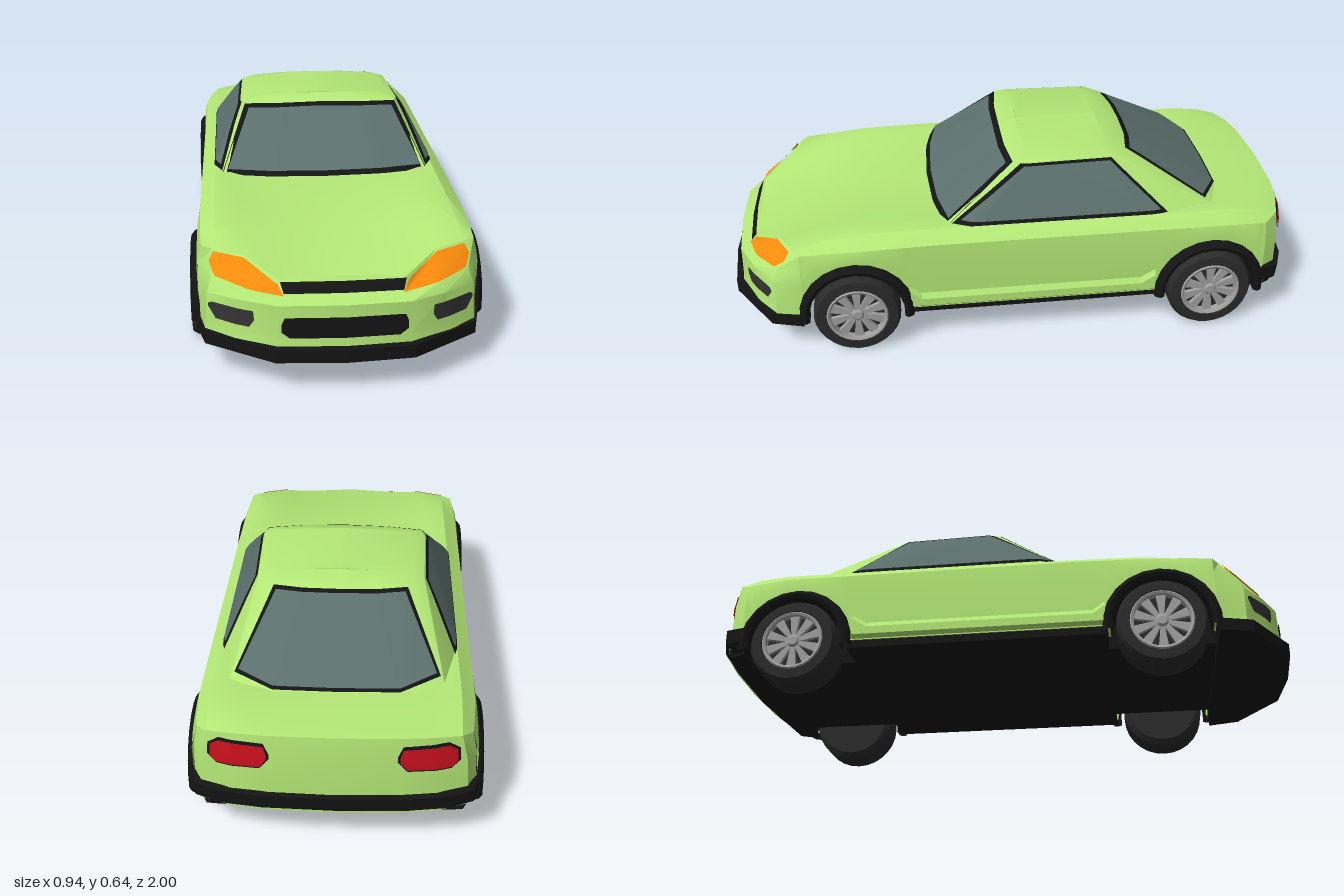
import * as THREE from 'three';
import { toCreasedNormals } from 'three/addons/utils/BufferGeometryUtils.js';

const mat = (color) => new THREE.MeshStandardMaterial({ color, side: THREE.DoubleSide });
const paint = mat(0xb4e876), black = mat(0x141414), tyreMat = mat(0x2a2a2a), trim = mat(0x333333),
  glass = mat(0x5b706d), amber = mat(0xff8c0c), red = mat(0xc4101c), alloy = mat(0xa0a0a0);
const WHEEL_Z = [0.555, -0.69], AXLE_Y = 0.15, ARCH_R = 0.175;

// Surface through rows of points
function patch(name, material, rows, crease = 0.45) {
  const n = rows[0].length, index = [];
  for (let i = 0; i < rows.length - 1; i++) for (let j = 0; j < n - 1; j++) {
    const a = i * n + j, b = a + n;
    index.push(a, b, a + 1, b, b + 1, a + 1);
  }
  const g = new THREE.BufferGeometry();
  g.setAttribute('position', new THREE.Float32BufferAttribute(rows.flat(2), 3));
  g.setIndex(index);
  const mesh = new THREE.Mesh(toCreasedNormals(g, crease), material);
  mesh.name = name;
  return mesh;
}
// Half rows start on the centre line and are mirrored to the other side
const mirrorRows = (rows) => rows.map((r) => [...r.slice(1).reverse().map(([x, y, z]) => [-x, y, z]), ...r]);

// Point at t (0..1) along a polyline
function along(pts, t) {
  const f = t * (pts.length - 1), i = Math.min(Math.floor(f), pts.length - 2);
  return pts[i].map((v, k) => v + (pts[i + 1][k] - v) * (f - i));
}

// Panel laid on a surface: bounded by two polylines, projected along x or z
function inlay(name, material, targets, axis, sign, lower, upper, lift) {
  const dir = axis === 'x' ? new THREE.Vector3(-sign, 0, 0) : new THREE.Vector3(0, 0, -sign);
  const ray = new THREE.Raycaster(), rows = [];
  let depth = 0.9;
  for (let j = 0; j <= 6; j++) {
    const row = [];
    for (let i = 0; i <= 24; i++) {
      const a = along(lower, i / 24), b = along(upper, i / 24);
      const u = a[0] + (b[0] - a[0]) * j / 6, v = a[1] + (b[1] - a[1]) * j / 6;
      ray.set(axis === 'x' ? new THREE.Vector3(sign * 3, v, u) : new THREE.Vector3(u, v, sign * 3), dir);
      const hit = ray.intersectObjects(targets)[0];
      if (hit) depth = 3 - hit.distance;
      const d = sign * (depth + lift);
      row.push(axis === 'x' ? [d, v, u] : [u, v, d]);
    }
    rows.push(row);
  }
  return patch(name, material, rows);
}

// Horizontal slab from a half outline of [x, z]
function slab(name, half, top, bottom) {
  const pts = [...half, ...half.slice().reverse().map(([x, z]) => [-x, z])].map((p) => new THREE.Vector2(...p));
  const g = new THREE.ExtrudeGeometry(new THREE.Shape(pts), { depth: top - bottom, bevelEnabled: false });
  const mesh = new THREE.Mesh(g.rotateX(Math.PI / 2).translate(0, top, 0), black);
  mesh.name = name;
  return mesh;
}

function wheel() {
  const g = new THREE.Group();
  const lathe = (pts, m, name) => {
    const geo = new THREE.LatheGeometry(pts.map((p) => new THREE.Vector2(...p)), 28);
    const mesh = new THREE.Mesh(toCreasedNormals(geo.rotateZ(-Math.PI / 2), 0.5), m);
    mesh.name = name;
    g.add(mesh);
  };
  lathe([[0, -0.07], [0.13, -0.07], [0.15, -0.055], [0.15, 0.05], [0.14, 0.066], [0.108, 0.068], [0.1, 0.04], [0, 0.04]], tyreMat, 'tyre');
  lathe([[0.106, 0.066], [0.102, 0.07], [0.094, 0.066], [0.092, 0.042]], alloy, 'rim');
  lathe([[0.022, 0.04], [0.022, 0.058], [0.015, 0.064], [0, 0.064]], alloy, 'hub');
  // Tapered spokes
  const s = new THREE.Shape([[-0.006, 0.012], [0.006, 0.012], [0.017, 0.096], [-0.017, 0.096]].map((p) => new THREE.Vector2(...p)));
  for (let i = 0; i < 10; i++) {
    const geo = new THREE.ExtrudeGeometry(s, { depth: 0.014, bevelEnabled: false });
    const spoke = new THREE.Mesh(geo.rotateZ(i * Math.PI / 5).rotateY(Math.PI / 2).translate(0.042, 0, 0), alloy);
    spoke.name = 'spoke';
    g.add(spoke);
  }
  return g;
}

export function createModel() {
  const car = new THREE.Group();
  car.name = 'car';

  // Nose and bumper, from hood edge down
  const noseRows = [
    [[0, 0.345, 0.89], [0.19, 0.335, 0.89], [0.295, 0.38, 0.80], [0.39, 0.385, 0.757], [0.425, 0.385, 0.735]],
    [[0, 0.30, 0.92], [0.18, 0.297, 0.915], [0.29, 0.308, 0.885], [0.395, 0.32, 0.815], [0.437, 0.33, 0.735]],
    [[0, 0.283, 0.965], [0.2, 0.283, 0.955], [0.31, 0.28, 0.90], [0.41, 0.275, 0.83], [0.44, 0.28, 0.735]],
    [[0, 0.18, 0.968], [0.2, 0.18, 0.958], [0.33, 0.18, 0.89], [0.415, 0.18, 0.83], [0.44, 0.18, 0.735]],
    [[0, 0.145, 0.975], [0.2, 0.145, 0.962], [0.33, 0.145, 0.9], [0.42, 0.145, 0.83], [0.44, 0.145, 0.735]]];
  const tailRows = [
    [[0, 0.427, -0.972], [0.2, 0.425, -0.965], [0.3, 0.42, -0.95], [0.385, 0.41, -0.925], [0.42, 0.39, -0.88]],
    [[0, 0.33, -0.987], [0.2, 0.33, -0.98], [0.31, 0.33, -0.965], [0.405, 0.32, -0.93], [0.435, 0.32, -0.88]],
    [[0, 0.15, -0.987], [0.2, 0.15, -0.98], [0.32, 0.15, -0.965], [0.415, 0.15, -0.93], [0.44, 0.15, -0.88]]];
  const station = (z, pts) => pts.map(([x, y]) => [x, y, z]);
  const topRows = [
    noseRows[0],
    station(0.66, [[0, 0.392], [0.22, 0.39], [0.3, 0.412], [0.385, 0.412], [0.43, 0.39]]),
    station(0.5, [[0, 0.413], [0.25, 0.415], [0.31, 0.432], [0.385, 0.43], [0.435, 0.395]]),
    station(0.27, [[0, 0.43], [0.29, 0.43], [0.33, 0.436], [0.385, 0.435], [0.435, 0.4]]),
    station(-0.74, [[0, 0.435], [0.3, 0.435], [0.34, 0.438], [0.39, 0.438], [0.435, 0.4]]),
    station(-0.85, [[0, 0.436], [0.28, 0.435], [0.33, 0.434], [0.388, 0.43], [0.425, 0.393]]),
    tailRows[0]];
  const nose = patch('frontBumper', paint, mirrorRows(noseRows));
  const tail = patch('rearPanel', paint, mirrorRows(tailRows));
  car.add(nose, tail, patch('hoodAndDeck', paint, mirrorRows(topRows)));

  // Cabin, from beltline to roof, each ring running front to rear
  const roofRing = [[0, 0.638, -0.05], [0.12, 0.638, -0.05], [0.225, 0.634, -0.06], [0.25, 0.632, -0.1], [0.24, 0.632, -0.3], [0.19, 0.632, -0.335], [0.1, 0.637, -0.34], [0, 0.638, -0.34]];
  const cabinRows = [
    [[0, 0.42, 0.29], [0.2, 0.42, 0.28], [0.36, 0.425, 0.24], [0.39, 0.432, 0.16], [0.39, 0.432, -0.5], [0.34, 0.432, -0.71], [0.2, 0.432, -0.76], [0, 0.432, -0.765]],
    [[0, 0.625, 0.005], [0.15, 0.624, 0], [0.275, 0.617, -0.01], [0.288, 0.615, -0.05], [0.278, 0.615, -0.35], [0.23, 0.615, -0.4], [0.12, 0.62, -0.41], [0, 0.622, -0.41]],
    roofRing, roofRing.map(([, , z]) => [0, 0.641, z])];
  const cabin = new THREE.Group();
  cabin.name = 'cabin';
  for (const s of [1, -1])
    cabin.add(patch('cabinShell', paint, cabinRows.map((r) => r.map(([x, y, z]) => [s * x, y, z]))));
  car.add(cabin);

  // Flanks with wheel arch cut-outs, stations running front to rear
  const shoulder = topRows.map((r) => r[4]);
  const zs = shoulder.map((p) => p[2]);
  for (const c of WHEEL_Z) for (let i = 0; i <= 14; i++) zs.push(c + ARCH_R * Math.cos(Math.PI * i / 14));
  zs.sort((a, b) => b - a);
  const flankRows = zs.map((z) => {
    const i = Math.max(1, shoulder.findIndex((p) => p[2] <= z + 1e-9)), a = shoulder[i - 1], b = shoulder[i];
    const [sx, sy] = along([a, b], (z - a[2]) / (b[2] - a[2]));
    let low = 0.15;
    for (const c of WHEEL_Z) low = Math.max(low, AXLE_Y + Math.sqrt(Math.max(0, ARCH_R ** 2 - (z - c) ** 2)));
    return [[sx, sy, z], [0.442, sy + (low - sy) * 0.35, z], [0.44, low, z]];
  });

  for (const s of [1, -1]) {
    const side = (rows) => rows.map((r) => r.map(([x, y, z]) => [s * x, y, z]));
    car.add(patch('flank', paint, side(flankRows)));
    // Sill skirt
    car.add(patch('sillSkirt', paint, side([0.37, 0.33, -0.44, -0.49].map((z, i) => {
      const e = i === 0 || i === 3 ? 0.03 : 0;
      return [[0.438, 0.215 + e, z], [0.453, 0.192 + e, z], [0.453, 0.165, z], [0.436, 0.15, z]];
    })), 0.3));
    for (const c of WHEEL_Z) {
      // Flared arch trim
      const ring = [];
      for (let i = 0; i <= 12; i++) {
        const a = -0.12 + (Math.PI + 0.24) * i / 12;
        ring.push([[0.2, 0.428], [0.195, 0.452], [0.178, 0.465], [0.164, 0.458], [0.164, 0.41]]
          .map(([r, x]) => [x, AXLE_Y + r * Math.sin(a), c + r * Math.cos(a)]));
      }
      car.add(patch('archFlare', black, side(ring)));
      // Wheel well liner
      const liner = [];
      for (let i = 0; i <= 12; i++) {
        const a = Math.PI * i / 12, y = AXLE_Y + 0.17 * Math.sin(a), z = c + 0.17 * Math.cos(a);
        liner.push([[0.435, y, z], [0.31, y, z], [0.31, AXLE_Y, c]]);
      }
      car.add(patch('wheelWell', black, side(liner)));
      const w = wheel();
      w.name = c > 0 ? 'frontWheel' : 'rearWheel';
      w.position.set(s * 0.4, AXLE_Y, c);
      if (s < 0) w.rotation.y = Math.PI;
      car.add(w);
    }
    // Side window with its black surround
    car.add(inlay('sideWindowFrame', black, cabin.children, 'x', s, [[0.215, 0.437], [-0.535, 0.437]], [[-0.03, 0.613], [-0.345, 0.613]], 0.003));
    car.add(inlay('sideWindow', glass, cabin.children, 'x', s, [[0.185, 0.45], [-0.51, 0.45]], [[-0.04, 0.606], [-0.34, 0.606]], 0.007));
    // Lamps and bumper vents
    const flip = (pts) => pts.map(([x, y]) => [s * x, y]);
    car.add(inlay('headlight', amber, [nose], 'z', 1, flip([[0.18, 0.298], [0.26, 0.307], [0.385, 0.325], [0.402, 0.355]]),
      flip([[0.197, 0.328], [0.245, 0.352], [0.295, 0.377], [0.388, 0.382]]), 0.008));
    car.add(inlay('bumperVent', trim, [nose], 'z', 1, flip([[0.27, 0.225], [0.285, 0.2], [0.385, 0.2], [0.407, 0.235]]),
      flip([[0.27, 0.232], [0.272, 0.255], [0.395, 0.252], [0.407, 0.245]]), 0.008));
    const lamp = (name, m, g, lift) => car.add(inlay(name, m, [tail], 'z', -1,
      flip([[0.2 - g, 0.35], [0.222, 0.322 - g], [0.355, 0.318 - g], [0.375 + g, 0.335]]),
      flip([[0.2 - g, 0.365], [0.208, 0.392 + g], [0.345, 0.392 + g], [0.372 + g, 0.375]]), lift));
    lamp('tailLightFrame', black, 0.008, 0.004);
    lamp('tailLight', red, 0, 0.009);
  }

  // Windshield and rear window
  const pane = (name, m, sign, lower, upper, lift) => car.add(inlay(name, m, cabin.children, 'z', sign, lower, upper, lift));
  pane('windshieldFrame', black, 1, [[-0.362, 0.43], [0.362, 0.43]], [[-0.276, 0.615], [0, 0.622], [0.276, 0.615]], 0.004);
  pane('windshield', glass, 1, [[-0.342, 0.445], [0.342, 0.445]], [[-0.262, 0.605], [0, 0.612], [0.262, 0.605]], 0.01);
  pane('rearWindowFrame', black, -1, [[-0.327, 0.452], [-0.2, 0.438], [0.2, 0.438], [0.327, 0.452]], [[-0.222, 0.614], [0.222, 0.614]], 0.004);
  pane('rearWindow', glass, -1, [[-0.315, 0.46], [-0.2, 0.446], [0.2, 0.446], [0.315, 0.46]], [[-0.214, 0.608], [0.214, 0.608]], 0.01);

  // Grilles
  car.add(inlay('upperGrille', black, [nose], 'z', 1, [[-0.18, 0.303], [0.18, 0.303]], [[-0.19, 0.333], [0.19, 0.333]], 0.006));
  car.add(inlay('lowerGrille', black, [nose], 'z', 1, [[-0.19, 0.2], [-0.165, 0.18], [0.165, 0.18], [0.19, 0.2]],
    [[-0.19, 0.225], [-0.18, 0.247], [0.18, 0.247], [0.19, 0.225]], 0.006));

  // Floor, front lip and rear bumper
  car.add(slab('floor', [[0, 0.95], [0.2, 0.94], [0.4, 0.81], [0.42, 0.735], [0.31, 0.735], [0.31, 0.375], [0.432, 0.375],
    [0.432, -0.51], [0.31, -0.51], [0.31, -0.87], [0.43, -0.87], [0.4, -0.93], [0, -0.96]], 0.17, 0.125));
  car.add(slab('frontLip', [[0, 1], [0.21, 0.985], [0.42, 0.85], [0.45, 0.74], [0.33, 0.735], [0, 0.735]], 0.152, 0.11));
  const bumper = (x, z, y) => [[0, y, -z], [0.22, y, -z + 0.007], [x - 0.1, y, -z + 0.025], [x - 0.02, y, -z + 0.06], [x, y, -0.865]];
  car.add(patch('rearBumper', black, mirrorRows([bumper(0.43, 0.975, 0.225), bumper(0.452, 1, 0.215), bumper(0.452, 0.995, 0.165),
    bumper(0.435, 0.965, 0.135), bumper(0.435, 0.965, 0.135).map(([x, y]) => [x, y, -0.86])])));
  return car;
}
